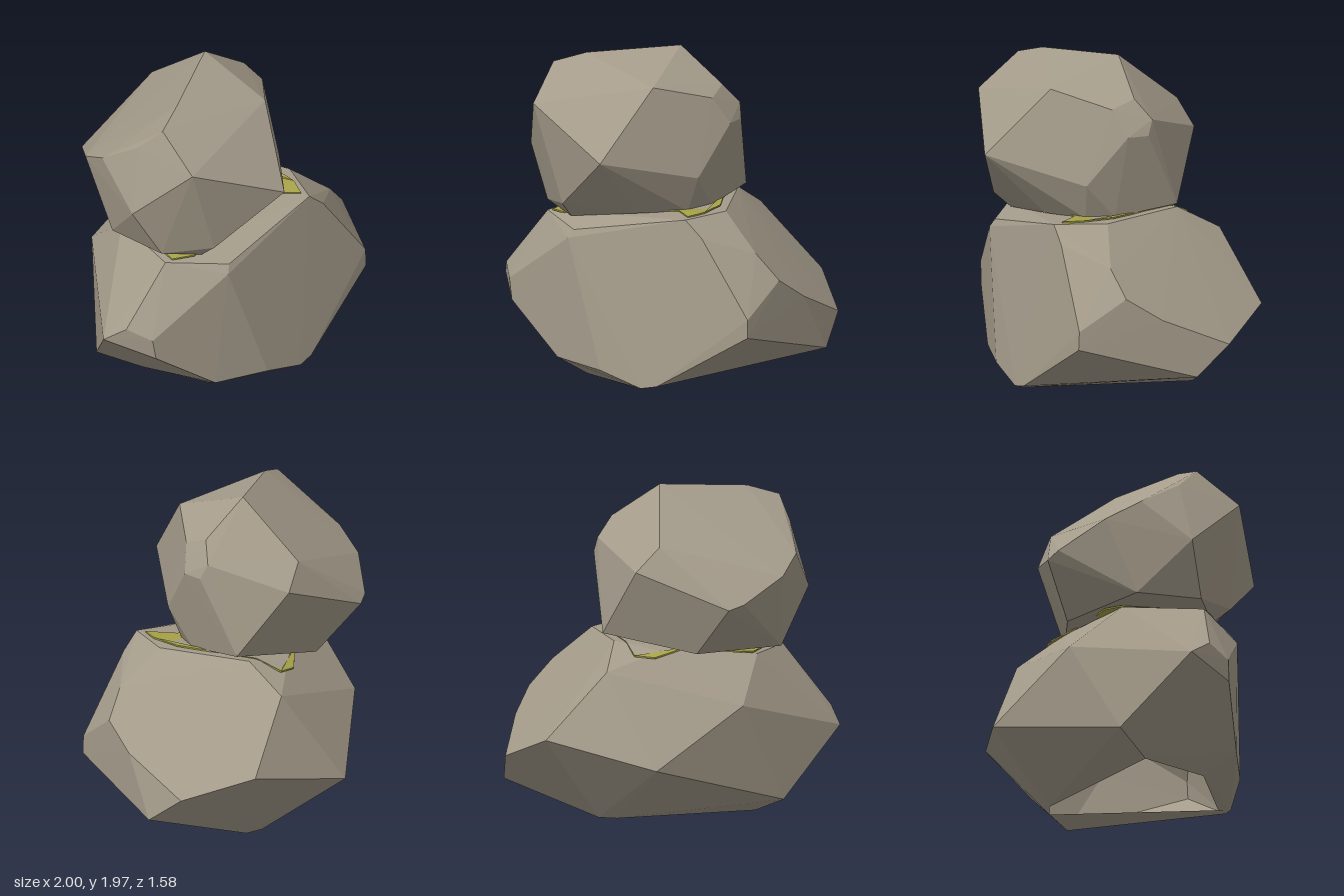
import * as THREE from 'three';
import { ConvexGeometry } from 'three/addons/geometries/ConvexGeometry.js';

const stone = new THREE.MeshStandardMaterial({ color: 0xa49b8a, side: THREE.DoubleSide });
stone.name = 'stone';
const moss = new THREE.MeshStandardMaterial({ color: 0xa8a348 });
moss.name = 'moss';

// A faceted boulder: the convex hull of its corners, left open where it rests on the ground
function boulder(name, corners) {
  const hull = new ConvexGeometry(corners.map((c) => new THREE.Vector3(...c)));
  const { position, normal } = hull.attributes;
  const points = [];
  const normals = [];
  for (let i = 0; i < position.count; i += 3) {
    const corner = [i, i + 1, i + 2];
    if (corner.every((k) => position.getY(k) < 0.001)) continue;
    for (const k of corner) {
      points.push(position.getX(k), position.getY(k), position.getZ(k));
      normals.push(normal.getX(k), normal.getY(k), normal.getZ(k));
    }
  }
  const geometry = new THREE.BufferGeometry();
  geometry.setAttribute('position', new THREE.Float32BufferAttribute(points, 3));
  geometry.setAttribute('normal', new THREE.Float32BufferAttribute(normals, 3));
  const mesh = new THREE.Mesh(geometry, stone);
  mesh.name = name;
  return mesh;
}

export function createModel() {
  const group = new THREE.Group();
  group.name = 'stackedBoulders';

  group.add(boulder('lowerBoulder', [
    // top
    [-0.65, 0.96, 0.32], [-0.37, 0.93, 0.58], [0.35, 1.06, 0.57], [0.49, 1.06, 0.28],
    [0.33, 1.06, -0.28], [0.36, 0.91, -0.55], [0.05, 1.01, -0.35], [-0.52, 0.97, -0.15],
    // front
    [-0.4, 0.88, 0.6], [0.46, 0.96, 0.58], [0.78, 0.5, 0.63], [0.78, 0.39, 0.635],
    [0.22, 0.05, 0.705], [0.12, 0.03, 0.71], [-0.15, 0.11, 0.69], [-0.48, 0.13, 0.57],
    // left side
    [0.73, 0.85, 0.39], [0.87, 0.69, 0.36], [0.94, 0.55, 0.15], [0.98, 0.36, -0.28],
    [1.0, 0.19, -0.05],
    // back
    [0.72, 0.51, -0.64], [0.05, 0.35, -0.79], [-0.45, 0.7, -0.46], [-0.68, 0.1, -0.21],
    // right side
    [-1.0, 0.5, 0.14], [-0.94, 0.6, 0.27], [-0.86, 0.54, 0.41], [-0.84, 0.41, 0.42],
    // ground outline
    [0.42, 0, -0.33], [0.31, 0, -0.36], [0.08, 0, 0.62], [-0.36, 0, 0.4], [-0.5, 0, 0],
  ]));

  group.add(boulder('upperBoulder', [
    // top
    [-0.63, 1.87, 0.28], [-0.44, 1.93, 0.22], [0.07, 1.97, -0.02], [0.09, 1.82, 0.45],
    [0.05, 1.65, -0.43], [-0.7, 1.73, 0.15],
    // front
    [-0.65, 1.67, 0.54], [-0.11, 1.41, 0.79], [0.335, 1.26, 0.34],
    // small left facet
    [0.36, 1.77, 0.03], [0.36, 1.72, 0.18], [0.45, 1.56, 0.12], [0.465, 1.56, -0.01],
    [0.44, 1.65, -0.05],
    // back and right side
    [0.19, 1.5, -0.47], [-0.37, 1.29, -0.57], [-0.46, 1.32, -0.53], [-0.68, 1.46, -0.3],
    [-0.75, 1.57, -0.1], [-0.81, 1.33, 0.2],
    // underside
    [0.4, 1.1, -0.24], [0.34, 1.05, 0.15], [0.25, 1.04, 0.3], [-0.02, 1.03, 0.43],
    [-0.46, 1.07, 0.54], [-0.45, 0.97, 0.43], [-0.66, 1.02, 0.3], [-0.66, 1.01, -0.1],
    [-0.17, 1.0, -0.39],
  ]));

  // Thin moss patch pressed between the boulders, bending down over the back edge
  const outline = [
    [0.42, 0.2], [0.4, 0.4], [0.34, 0.51], [0.22, 0.36], [-0.1, 0.32], [-0.5, 0.42],
    [-0.61, 0.34], [-0.54, 0.05], [-0.5, -0.16], [-0.42, -0.23], [-0.1, -0.28],
    [0.08, -0.42], [0.2, -0.42], [0.26, -0.28], [0.32, -0.1],
  ].map(([x, z]) => new THREE.Vector2(x, -z));
  const patch = new THREE.ExtrudeGeometry(new THREE.Shape(outline), { depth: 0.009, bevelEnabled: false });
  patch.rotateX(-Math.PI / 2);
  const p = patch.attributes.position;
  for (let i = 0; i < p.count; i++) {
    const drop = 0.5 * Math.max(0, -p.getZ(i) - 0.3);
    p.setY(i, p.getY(i) + 1.025 + 0.095 * p.getX(i) - drop);
  }
  patch.computeVertexNormals();
  const mossPatch = new THREE.Mesh(patch, moss);
  mossPatch.name = 'mossPatch';
  group.add(mossPatch);

  return group;
}
